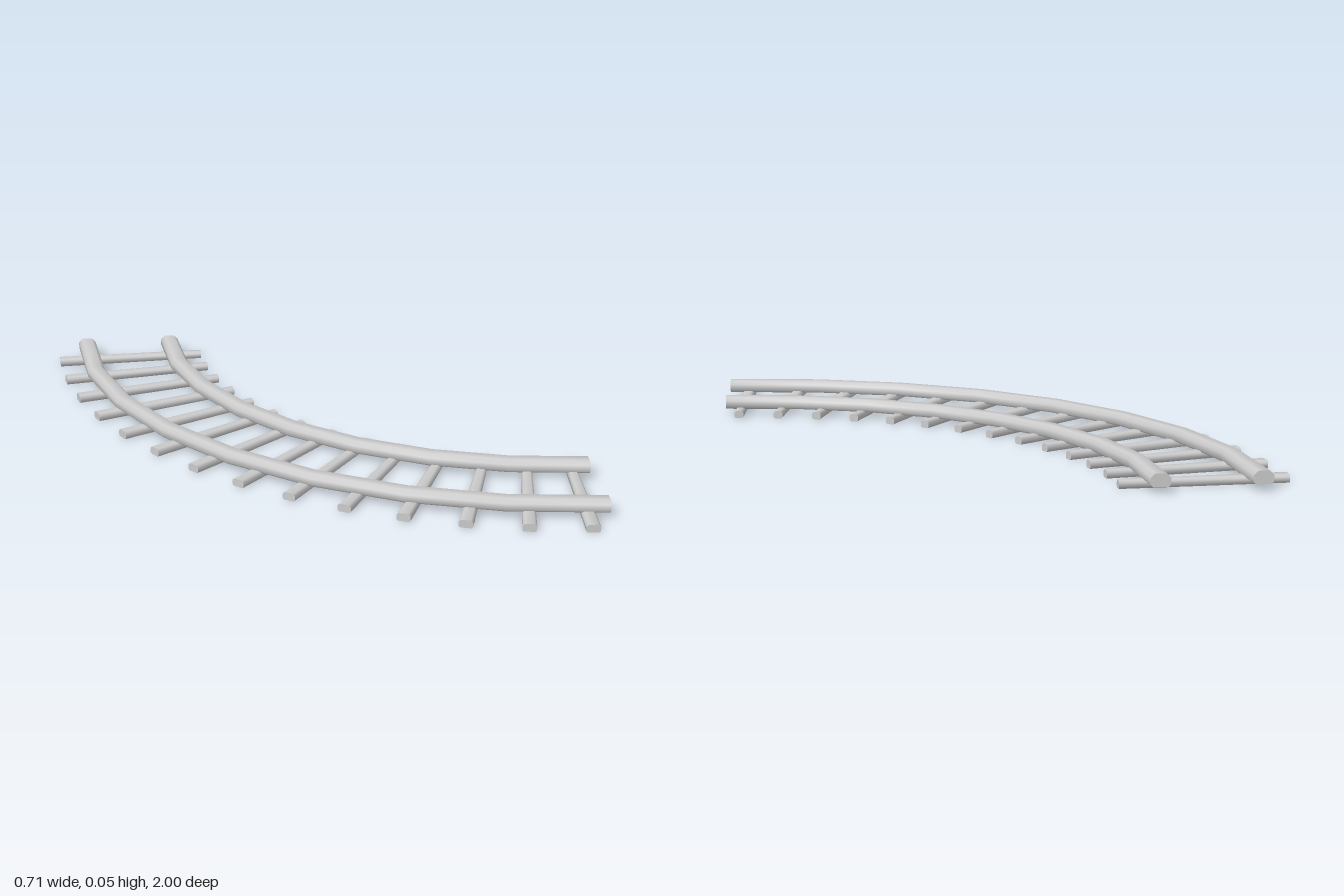
import * as THREE from 'three';
import { toCreasedNormals } from 'three/addons/utils/BufferGeometryUtils.js';

const CX = 1.135; // x of the curve's centre
const DEG = Math.PI / 180;

// Point on the curve's plane at radius r, angle a and height y
const polar = (r, a, y, cz = 0) =>
  new THREE.Vector3(CX - r * Math.cos(a), y, cz + r * Math.sin(a));

// Box section with chamfered corners, as [u, v] pairs
function section(w, y0, y1, top, bottom) {
  const h = w / 2;
  return [
    [-h + bottom, y0], [h - bottom, y0], [h, y0 + bottom], [h, y1 - top],
    [h - top, y1], [-h + top, y1], [-h, y1 - top], [-h, y0 + bottom],
  ];
}

// Closed skin through a list of rings, capped at both ends
function loft(rings) {
  const n = rings[0].length, last = (rings.length - 1) * n, index = [];
  for (let i = 0; i < rings.length - 1; i++) {
    for (let j = 0; j < n; j++) {
      const a = i * n + j, b = i * n + (j + 1) % n;
      index.push(a, b, b + n, a, b + n, a + n);
    }
  }
  for (let j = 1; j < n - 1; j++) {
    index.push(0, j + 1, j, last, last + j, last + j + 1);
  }
  const geometry = new THREE.BufferGeometry().setFromPoints(rings.flat());
  geometry.setIndex(index);
  return toCreasedNormals(geometry, 1.0);
}

export function createModel() {
  const group = new THREE.Group();
  const material = new THREE.MeshStandardMaterial({ color: 0xcccccc });
  const add = (name, geometry) => {
    const mesh = new THREE.Mesh(geometry, material);
    mesh.name = name;
    group.add(mesh);
  };

  // Two rails, each bent in eight straight segments
  const railSection = section(0.052, 0.017, 0.052, 0.011, 0.006);
  for (const [name, radius] of [['outerRail', 1.397], ['innerRail', 1.135]]) {
    const rings = [];
    for (let i = -4; i <= 4; i++) {
      rings.push(railSection.map(([u, v]) => polar(radius - u, i * 11 * DEG, v, -0.011)));
    }
    add(name, loft(rings));
  }

  // Fourteen ties, narrower towards the inside of the curve
  for (let i = 0; i < 14; i++) {
    const a = (-40.7 + i * 6.31) * DEG;
    const rings = [[1.048, 0.026], [1.493, 0.038]].map(([r, w]) =>
      section(w, 0, 0.022, 0.006, 0.004).map(([u, v]) => {
        const p = polar(r, a, v);
        p.x += u * Math.sin(a);
        p.z += u * Math.cos(a);
        return p;
      }));
    add('tie' + (i + 1), loft(rings));
  }
  return group;
}
